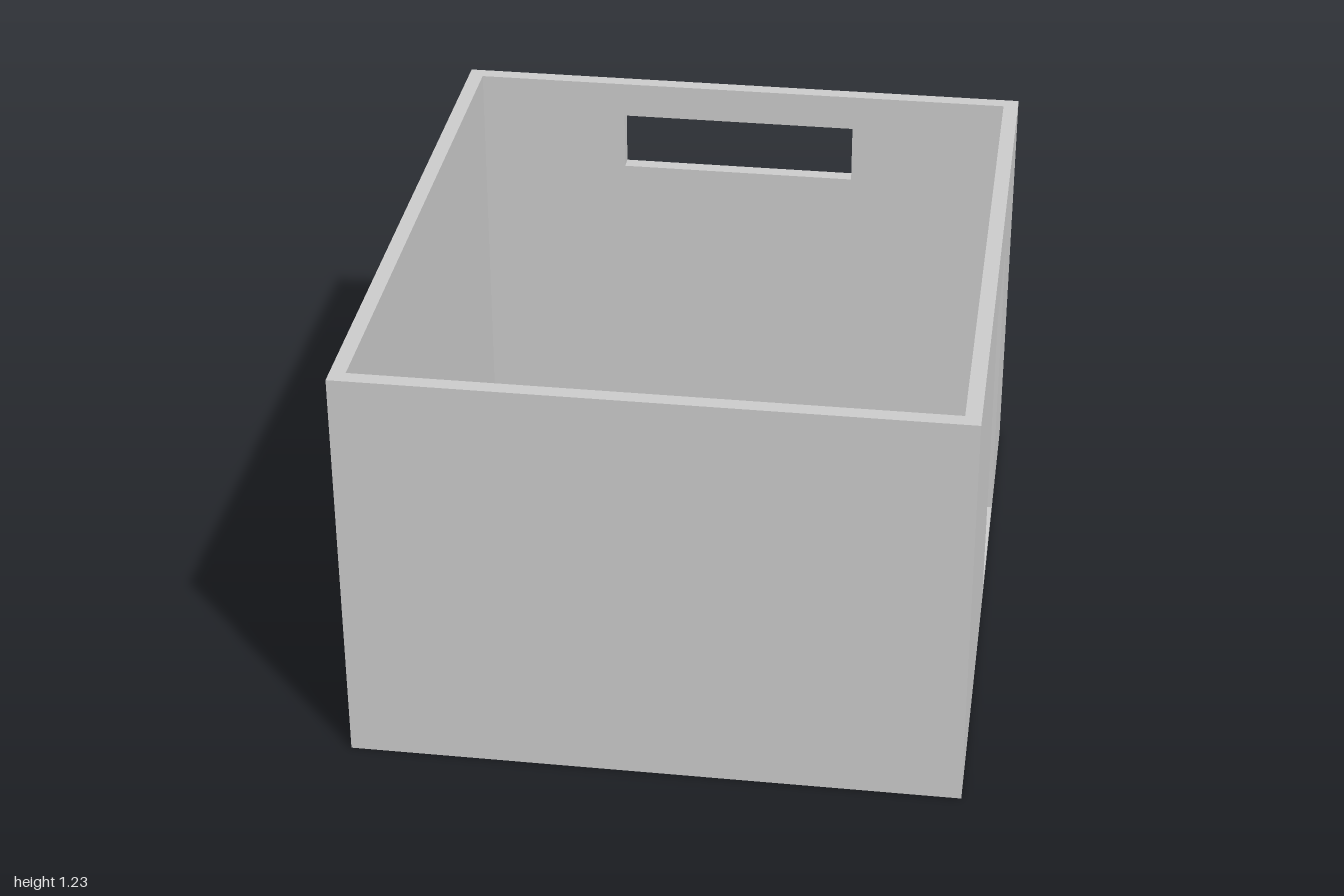
import * as THREE from 'three';

const W = 0.88, D = 1, H = 1.23; // half width, half depth, height
const T = 0.045;                 // wall thickness
const FLOOR = 0.035;             // floor thickness

const material = new THREE.MeshStandardMaterial({ color: 0xcccccc, flatShading: true });

function rectangle(path, u0, u1, y0, y1) {
  path.moveTo(u0, y0);
  path.lineTo(u1, y0);
  path.lineTo(u1, y1);
  path.lineTo(u0, y1);
  path.closePath();
  return path;
}

// Upright panel spanning -half..half, with an optional opening [u0, u1, y0, y1]
function wall(name, half, y0, opening) {
  const shape = rectangle(new THREE.Shape(), -half, half, y0, H);
  if (opening) shape.holes.push(rectangle(new THREE.Path(), ...opening));
  const geometry = new THREE.ExtrudeGeometry(shape, { depth: T, bevelEnabled: false });
  const mesh = new THREE.Mesh(geometry, material);
  mesh.name = name;
  return mesh;
}

function box(name, w, h, d, x, y, z) {
  const mesh = new THREE.Mesh(new THREE.BoxGeometry(w, h, d), material);
  mesh.name = name;
  mesh.position.set(x, y, z);
  return mesh;
}

export function createModel() {
  const room = new THREE.Group();
  room.name = 'room';

  // Side walls run the full depth; the left one (+x) holds the doorway
  const doorWall = wall('doorWall', D, 0, [0, 0.48, FLOOR, 0.99]);
  doorWall.rotation.y = Math.PI / 2;
  doorWall.position.x = W - T;
  const plainWall = wall('plainSideWall', D, 0);
  plainWall.rotation.y = Math.PI / 2;
  plainWall.position.x = -W;

  // Back wall with a long high window
  const backWall = wall('backWall', W - T, 0, [-0.375, 0.36, 0.94, 1.12]);
  backWall.position.z = -D;

  // Front wall starts at floor height, leaving a groove behind a thin lip
  const frontWall = wall('frontWall', W - T, FLOOR);
  frontWall.position.z = D - T;
  const lip = 0.005;
  const frontLip = box('frontLip', 2 * (W - T), FLOOR, lip, 0, FLOOR / 2, D - lip / 2);

  // Floor slab between the walls
  const floor = box('floor', 2 * (W - T), FLOOR, 2 * (D - T), 0, FLOOR / 2, 0);

  room.add(doorWall, plainWall, backWall, frontWall, frontLip, floor);
  return room;
}
